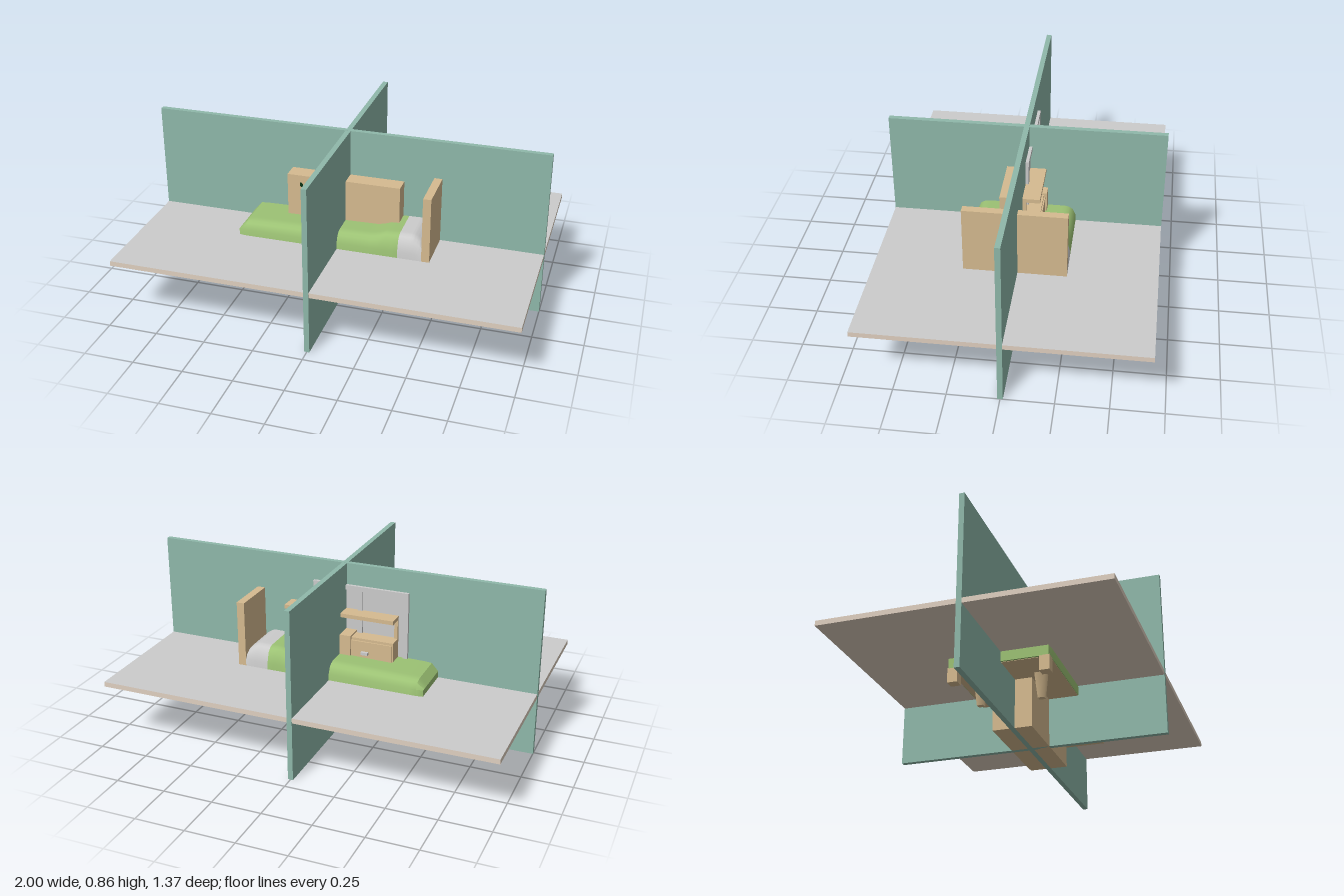
import * as THREE from 'three';
import { toCreasedNormals } from 'three/addons/utils/BufferGeometryUtils.js';

const mat = (color, extra = {}) => new THREE.MeshStandardMaterial({ color, ...extra });
const WALL = mat(0x8fb8aa), WOOD = mat(0xd6bb90), GREY = mat(0xcccccc), FLOOR = mat(0xe0d0c0);
const GREEN = mat(0x9cc274), LEAF = mat(0x1c5a28, { side: THREE.DoubleSide }), BARK = mat(0x4a4a30);

export function createModel() {
  const root = new THREE.Group();
  const add = (parent, name, geo, material) => {
    const m = new THREE.Mesh(geo, material);
    m.name = name;
    parent.add(m);
    return m;
  };
  // Box given by its extents on each axis
  const box = (parent, name, x0, x1, y0, y1, z0, z1, material) => {
    const m = add(parent, name, new THREE.BoxGeometry(x1 - x0, y1 - y0, z1 - z0), material);
    m.position.set((x0 + x1) / 2, (y0 + y1) / 2, (z0 + z1) / 2);
    return m;
  };
  const group = (name) => {
    const g = new THREE.Group();
    g.name = name;
    root.add(g);
    return g;
  };

  // Crossing walls and floor slab with a grey top
  box(root, 'longWall', -1, 1, 0, 0.86, -0.013, 0.013, WALL);
  box(root, 'crossWall', -0.013, 0.013, 0, 0.859, -0.685, 0.685, WALL);
  box(root, 'floor', -0.999, 0.999, 0.302, 0.327, -0.684, 0.684, [FLOOR, FLOOR, GREY, FLOOR, FLOOR, FLOOR]);

  // Bed: headboard, foot posts, tapered legs and soft bedding
  const bed = group('bed');
  box(bed, 'headboard', 0.44, 0.48, 0.18, 0.665, -0.25, 0.25, WOOD);
  box(bed, 'bedBase', -0.49, 0.44, 0.25, 0.262, -0.247, 0.247, WOOD);
  for (const s of [-1, 1]) {
    box(bed, 'footPost', -0.5, -0.45, 0.18, 0.255, s * 0.225 - 0.025, s * 0.225 + 0.025, WOOD);
    for (const sx of [-1, 1]) {
      const leg = add(bed, 'bedLeg', new THREE.CylinderGeometry(0.038, 0.022, 0.125, 4), WOOD);
      leg.geometry.rotateY(Math.PI / 4);
      leg.position.set(sx * 0.308, 0.19, s * 0.152);
      leg.rotation.z = sx * -0.06;
    }
  }
  // Height of the bedding crown along the bed, swelling over the pillow
  const crown = (x) => 0.4 + 0.022 * (x + 0.5)
    + 0.02 * THREE.MathUtils.smoothstep(x, 0.19, 0.26) - 0.012 * THREE.MathUtils.smoothstep(x, 0.38, 0.44);
  const edge = (d, r) => Math.sqrt(Math.max(0, 1 - Math.max(0, 1 - d / r) ** 2));
  const bedding = (name, x0, x1, material) => {
    const g = new THREE.BoxGeometry(x1 - x0, 0.11, 0.5, 24, 1, 30);
    g.translate((x0 + x1) / 2, 0.307, 0);
    const p = g.attributes.position;
    for (let i = 0; i < p.count; i++) {
      const x = p.getX(i), z = p.getZ(i);
      if (p.getY(i) > 0.31) {
        const round = edge(0.25 - Math.abs(z), 0.06) * edge(x + 0.5, 0.05) * (0.55 + 0.45 * edge(0.44 - x, 0.06));
        p.setY(i, 0.36 + (crown(x) - 0.36) * round);
      }
      // Soften the two foot corners in plan
      const d = Math.max(0, 0.04 - (x + 0.5));
      p.setZ(i, z * (1 - 12 * d * d));
    }
    add(bed, name, toCreasedNormals(g, 0.7), material);
  };
  bedding('blanket', -0.5, 0.32, GREEN);
  bedding('pillowEnd', 0.32, 0.44, GREY);

  // Dresser: plain back to +z, drawers and open shelf to -z
  const dresser = group('dresser');
  box(dresser, 'dresserBack', -0.29, 0.29, 0, 0.625, 0.08, 0.098, WOOD);
  box(dresser, 'dresserTop', -0.29, 0.29, 0.605, 0.625, -0.098, 0.08, WOOD);
  box(dresser, 'dresserBody', -0.29, 0.29, 0, 0.505, -0.093, 0.08, WOOD);
  for (const s of [-1, 1]) {
    box(dresser, 'dresserSide', s * 0.281 - 0.009, s * 0.281 + 0.009, 0.5, 0.61, -0.03, 0.08, WOOD);
    for (let row = 0; row < 4; row++) {
      const y = 0.062 + row * 0.124;
      box(dresser, 'drawerFront', s * 0.145 - 0.14, s * 0.145 + 0.14, y - 0.058, y + 0.058, -0.1, -0.092, WOOD);
      box(dresser, 'drawerHandle', s * 0.145 - 0.018, s * 0.145 + 0.018, y - 0.007, y + 0.007, -0.116, -0.099, GREY);
    }
  }

  // Small nightstand with splayed front legs
  const stand = group('nightstand');
  box(stand, 'standBody', -0.07, 0.07, 0.25, 0.515, -0.108, 0.07, WOOD);
  for (const s of [-1, 1]) {
    const leg = add(stand, 'standLeg', new THREE.CylinderGeometry(0.015, 0.008, 0.105, 6), WOOD);
    leg.position.set(s * 0.062, 0.2, -0.103);
    leg.rotation.x = 0.16;
  }

  // Window on the -z face of the long wall
  const win = group('window');
  box(win, 'windowPane', -0.33, 0.155, 0.36, 0.74, -0.018, -0.012, GREY);
  for (const x of [-0.33, -0.09, 0.15]) {
    box(win, 'windowPost', x - 0.012, x + 0.012, 0.35, 0.75, -0.028, -0.012, GREY);
  }
  for (const y of [0.36, 0.738]) {
    box(win, 'windowRail', -0.342, 0.162, y - 0.012, y + 0.012, -0.0285, -0.012, GREY);
  }

  // Plant: curved stem, two branches and pointed leaves
  const plant = group('plant');
  const V = (x, y, z) => new THREE.Vector3(x, y, z);
  const twig = (name, pts, r) => {
    const curve = new THREE.CatmullRomCurve3(pts);
    add(plant, name, new THREE.TubeGeometry(curve, 10, r, 6), BARK);
    return curve;
  };
  const stems = [
    twig('stem', [V(-0.122, 0.41, 0.175), V(-0.118, 0.52, 0.175), V(-0.11, 0.6, 0.17), V(-0.085, 0.69, 0.16)], 0.006),
    twig('branch', [V(-0.118, 0.52, 0.175), V(-0.14, 0.58, 0.185), V(-0.178, 0.61, 0.19)], 0.004),
    twig('branch', [V(-0.115, 0.56, 0.175), V(-0.09, 0.6, 0.16), V(-0.07, 0.64, 0.15)], 0.004),
  ];
  const leafShape = new THREE.Shape();
  leafShape.quadraticCurveTo(0.02, 0.022, 0, 0.055);
  leafShape.quadraticCurveTo(-0.02, 0.022, 0, 0);
  const leafGeo = new THREE.ShapeGeometry(leafShape, 5);
  stems.forEach((curve, b) => {
    const n = b ? 4 : 7;
    for (let i = 0; i < n; i++) {
      const leaf = add(plant, 'leaf', leafGeo, LEAF);
      leaf.position.copy(curve.getPoint(1 - i * (b ? 0.12 : 0.055)));
      leaf.rotation.set(0.5 * Math.sin(i * 2.4 + b), i * 2.4 + b, i ? (i % 2 ? 0.8 : -0.8) : 0.2);
      leaf.scale.setScalar(b === 0 && i === 0 ? 0.5 : 0.85);
    }
  });

  return root;
}
